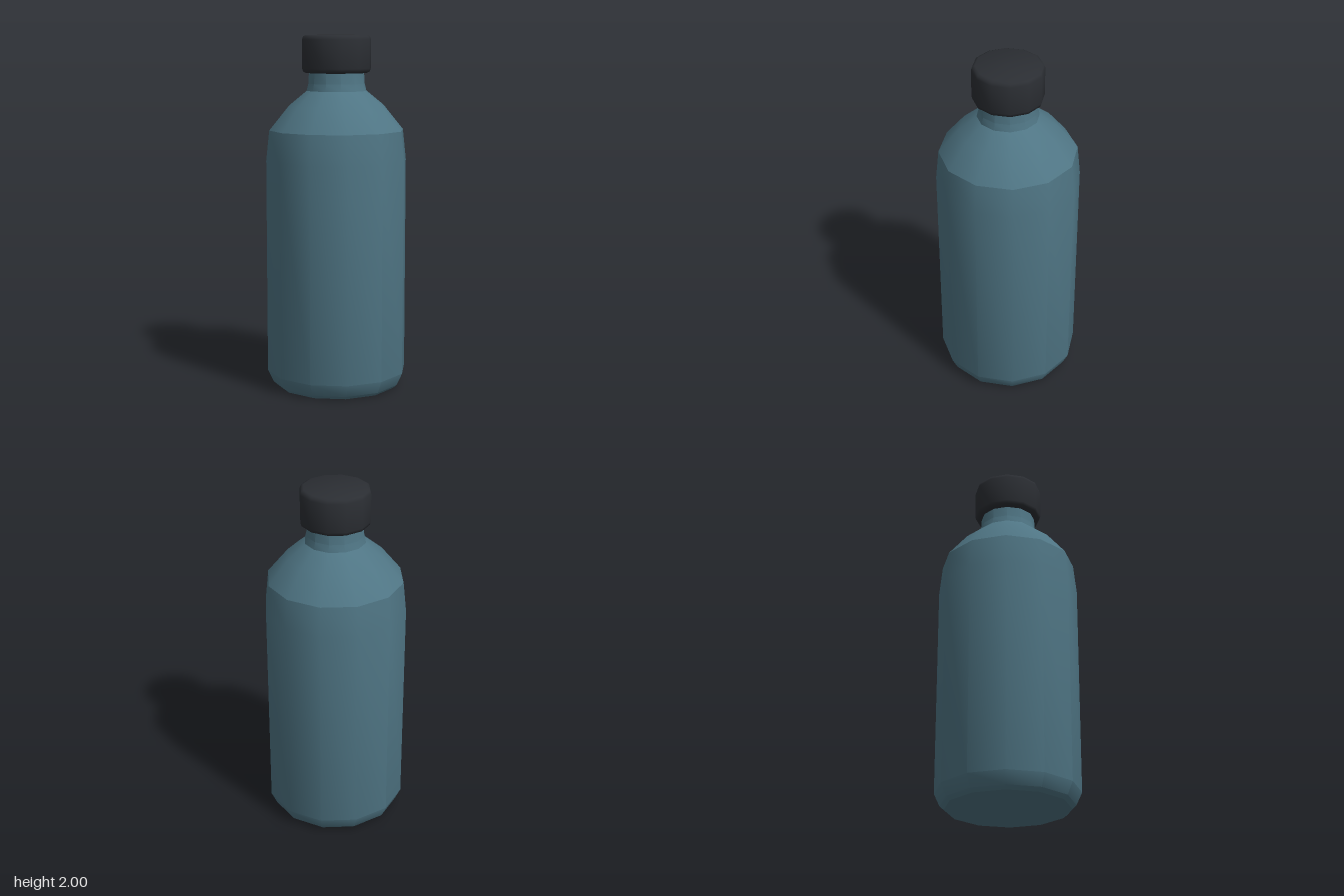
import * as THREE from 'three';
import { toCreasedNormals } from 'three/addons/utils/BufferGeometryUtils.js';

const SIDES = 12;

// Revolves a [radius, height] profile, listed bottom to top
function turned(name, profile, color, crease) {
  const points = profile.map(([r, y]) => new THREE.Vector2(r, y));
  const geometry = toCreasedNormals(new THREE.LatheGeometry(points, SIDES), crease);
  const mesh = new THREE.Mesh(geometry, new THREE.MeshStandardMaterial({ color }));
  mesh.name = name;
  return mesh;
}

export function createModel() {
  const group = new THREE.Group();
  group.name = 'bottle';

  // Body: chamfered base, straight wall, sloping shoulder and neck
  group.add(turned('body', [
    [0, 0], [0.345, 0], [0.368, 0.02], [0.4, 0.09], [0.4, 1.3],
    [0.382, 1.47], [0.268, 1.61], [0.17, 1.69], [0.16, 1.73], [0.155, 1.82],
  ], 0x4f7584, 0.535));

  // Screw cap with softened rims, closed underneath around the neck
  group.add(turned('cap', [
    [0, 1.79], [0.175, 1.79], [0.189, 1.797], [0.195, 1.815],
    [0.195, 1.975], [0.189, 1.993], [0.175, 2], [0, 2],
  ], 0x2b2e33, 0.9));

  return group;
}
